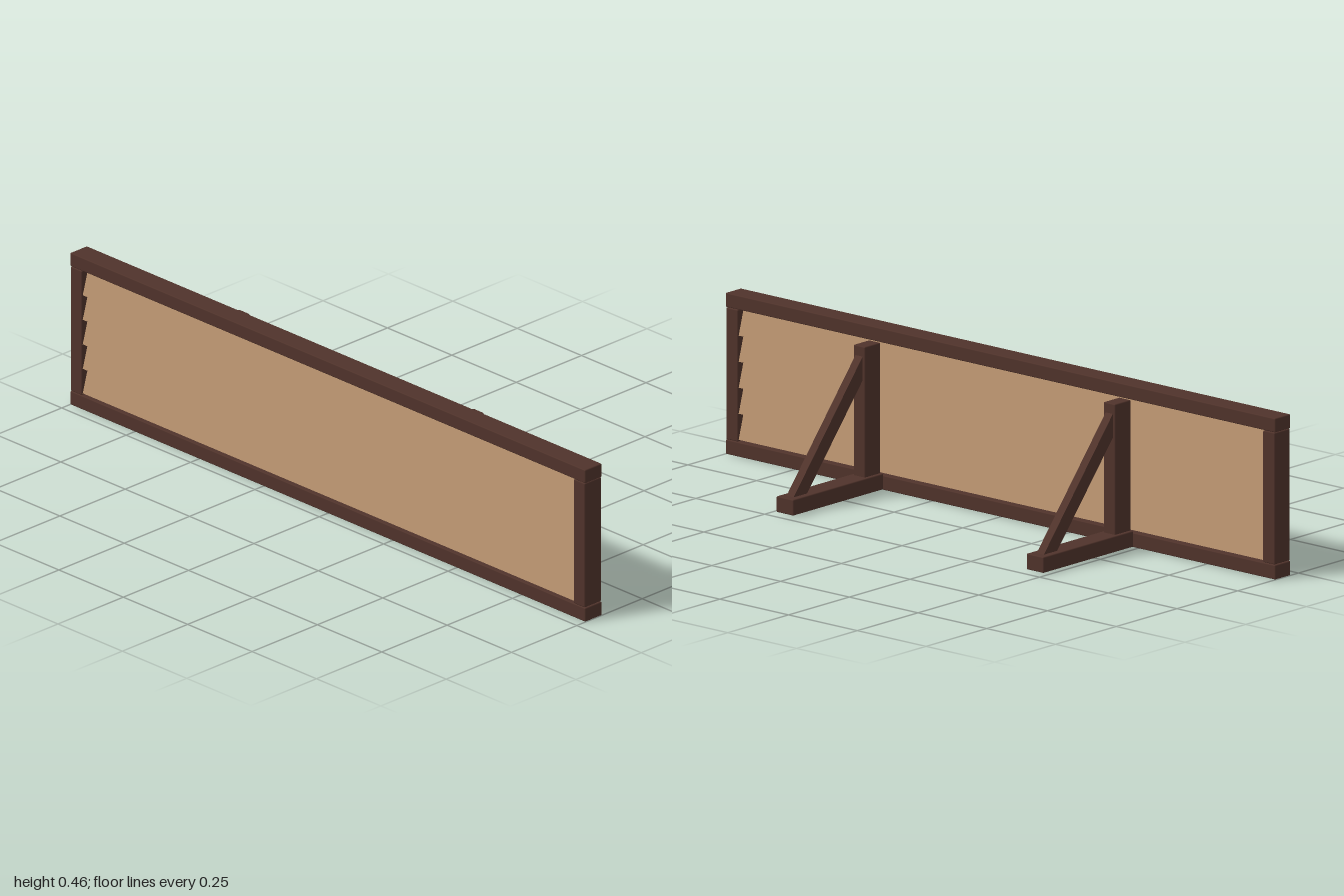
import * as THREE from 'three';
import { RoundedBoxGeometry } from 'three/addons/geometries/RoundedBoxGeometry.js';

const darkWood = new THREE.MeshStandardMaterial({ color: 0x50332b });
const lightWood = new THREE.MeshStandardMaterial({ color: 0xb5906c });

// Timber with slightly eased edges, given by its extents on each axis
function timber(name, [x0, x1], [y0, y1], [z0, z1]) {
  const geometry = new RoundedBoxGeometry(x1 - x0, y1 - y0, z1 - z0, 1, 0.003);
  const mesh = new THREE.Mesh(geometry, darkWood);
  mesh.position.set((x0 + x1) / 2, (y0 + y1) / 2, (z0 + z1) / 2);
  mesh.name = name;
  return mesh;
}

// Side profile in x and y, extruded along z and centred on z = 0
function profile(name, points, width, material) {
  const shape = new THREE.Shape(points.map(([x, y]) => new THREE.Vector2(x, y)));
  const geometry = new THREE.ExtrudeGeometry(shape, { depth: width, bevelEnabled: false });
  geometry.translate(0, 0, -width / 2);
  const mesh = new THREE.Mesh(geometry, material);
  mesh.name = name;
  return mesh;
}

// Upright, foot and diagonal strut
function createBracket(name, z) {
  const bracket = new THREE.Group();
  bracket.name = name;
  bracket.add(
    timber('bracketUpright', [-0.153, -0.088], [0.044, 0.415], [-0.021, 0.021]),
    timber('bracketFoot', [-0.153, 0.218], [0.002, 0.047], [-0.031, 0.031]),
    profile('bracketStrut', [
      [-0.098, 0.332], [0.15, 0.036], [0.205, 0.036], [-0.098, 0.399],
    ], 0.026, darkWood),
  );
  bracket.position.z = z;
  return bracket;
}

export function createModel() {
  const model = new THREE.Group();
  model.name = 'boardedBarrier';
  const panelX = [-0.218, -0.154];
  const middleX = -0.186;

  // Frame
  model.add(
    timber('topRail', panelX, [0.415, 0.455], [-1, 1]),
    timber('bottomRail', panelX, [0, 0.041], [-1, 1]),
    timber('frontPost', panelX, [0.042, 0.414], [0.955, 0.998]),
    timber('backPost', panelX, [0.042, 0.414], [-0.998, -0.955]),
  );

  // Overlapping boards, flared towards the lower edge on both sides
  const pitch = 0.0735;
  for (let i = 0; i < 5; i++) {
    const board = profile('board', [
      [-0.028, 0], [0.028, 0], [0.007, pitch], [-0.007, pitch],
    ], 1.92, lightWood);
    board.position.set(middleX, 0.047 + i * pitch, 0);
    model.add(board);
  }

  // Supports
  model.add(createBracket('frontBracket', 0.455), createBracket('backBracket', -0.455));
  return model;
}
